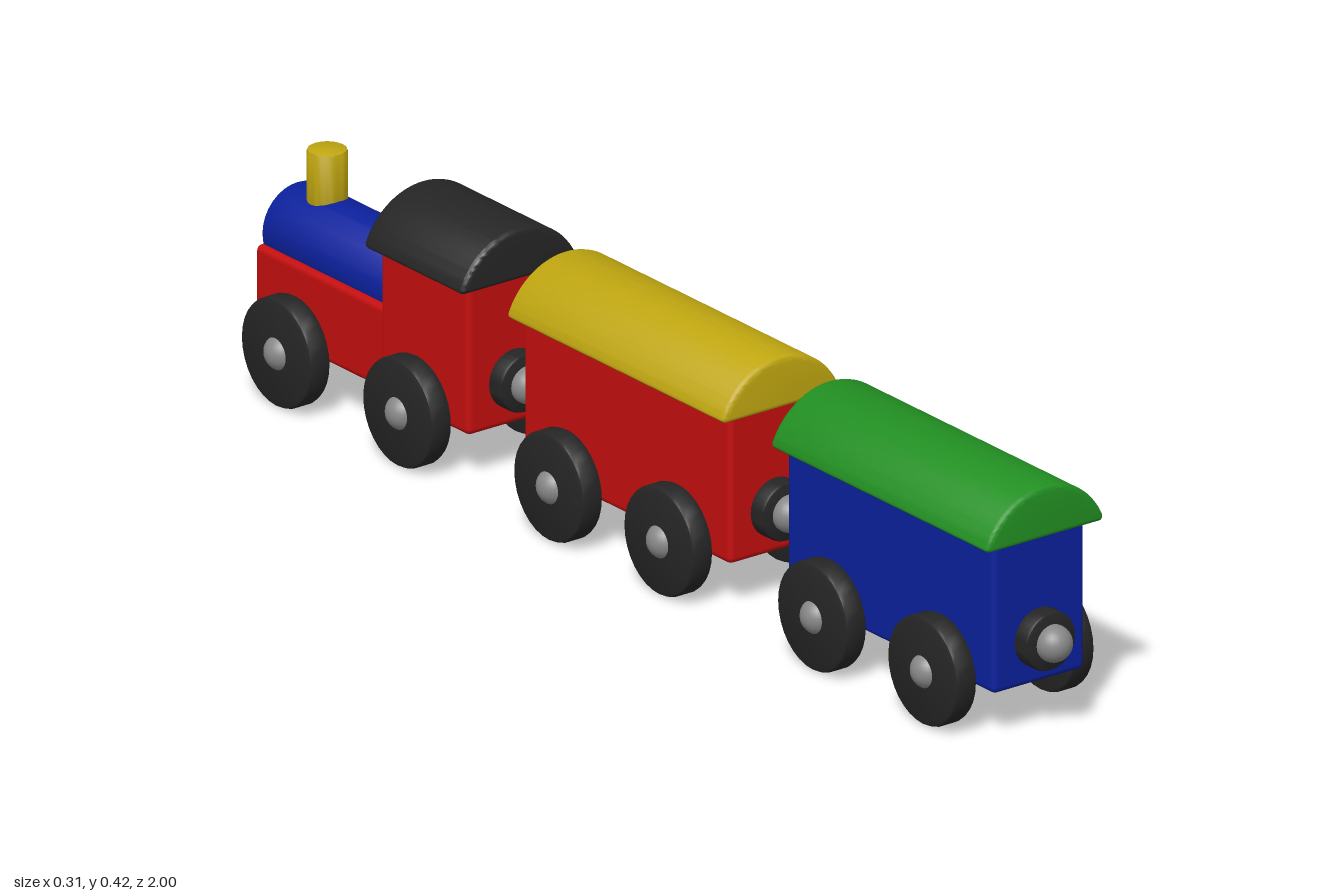
import * as THREE from 'three';
import { toCreasedNormals } from 'three/addons/utils/BufferGeometryUtils.js';
import { RoundedBoxGeometry } from 'three/addons/geometries/RoundedBoxGeometry.js';

function paint(name, color) {
  const m = new THREE.MeshStandardMaterial({ color });
  m.name = name;
  return m;
}

export function createModel() {
  const red = paint('red', 0xc40e0e);
  const blue = paint('blue', 0x0c219e);
  const green = paint('green', 0x229022);
  const yellow = paint('yellow', 0xbfa610);
  const black = paint('black', 0x252525);
  const steel = paint('steel', 0x888888);

  const train = new THREE.Group();
  train.name = 'toyTrain';

  function add(parent, name, geometry, material, x = 0, y = 0, z = 0) {
    const mesh = new THREE.Mesh(geometry, material);
    mesh.name = name;
    mesh.position.set(x, y, z);
    parent.add(mesh);
    return mesh;
  }

  // Solid disc or rod along y with softened rims
  function softCylinder(radius, height, bevel) {
    const h = height / 2, b = bevel, k = bevel * 0.3;
    const profile = [
      [0, -h], [radius - b, -h], [radius - k, -h + k], [radius, -h + b],
      [radius, h - b], [radius - k, h - k], [radius - b, h], [0, h],
    ].map(([x, y]) => new THREE.Vector2(x, y));
    return toCreasedNormals(new THREE.LatheGeometry(profile, 32), 0.75);
  }

  // Arched roof, flat underneath, running along z and centred on z = 0
  function roofGeometry(length) {
    const w = 0.116, base = 0.333, eave = 0.343, cy = 0.294, r = 0.126;
    const a = Math.atan2(eave - cy, w);
    const shape = new THREE.Shape();
    shape.moveTo(-w, base + 0.004);
    shape.lineTo(-w + 0.004, base);
    shape.lineTo(w - 0.004, base);
    shape.lineTo(w, base + 0.004);
    shape.absarc(0, cy, r, a, Math.PI - a, false);
    const bevel = 0.008;
    const geometry = new THREE.ExtrudeGeometry(shape, {
      depth: length - bevel * 2, curveSegments: 24,
      bevelSize: bevel, bevelThickness: bevel, bevelOffset: -bevel, bevelSegments: 3,
    });
    geometry.translate(0, 0, -length / 2 + bevel);
    return toCreasedNormals(geometry, 0.7);
  }

  const wheelGeometry = softCylinder(0.092, 0.042, 0.008).rotateZ(Math.PI / 2);
  const axleGeometry = new THREE.CylinderGeometry(0.012, 0.012, 0.22, 12).rotateZ(Math.PI / 2);
  const ballGeometry = new THREE.SphereGeometry(0.031, 24, 16);
  const bufferGeometry = softCylinder(0.05, 0.044, 0.006).rotateX(Math.PI / 2);

  // Pair of wheels with round hubs on one axle
  function wheelPair(parent, z) {
    const pair = new THREE.Group();
    pair.name = 'wheelPair';
    pair.position.set(0, 0.093, z);
    add(pair, 'axle', axleGeometry, steel);
    for (const side of [-1, 1]) {
      add(pair, 'wheel', wheelGeometry, black, side * 0.118);
      add(pair, 'hub', ballGeometry, steel, side * 0.124);
    }
    parent.add(pair);
  }

  // Round buffer with its magnet ball; dir is the way it faces along z
  function coupler(parent, z, dir) {
    add(parent, 'buffer', bufferGeometry, black, 0, 0.16, z + dir * 0.01);
    add(parent, 'couplerBall', ballGeometry, steel, 0, 0.16, z + dir * 0.037);
  }

  // Cabin box under an arched roof
  function cabin(parent, length, z, bodyMaterial, roofMaterial) {
    add(parent, 'body', new RoundedBoxGeometry(0.184, 0.264, length, 3, 0.011), bodyMaterial, 0, 0.213, z);
    add(parent, 'roof', roofGeometry(length + 0.028), roofMaterial, 0.003, 0, z);
  }

  // Two carriages
  for (const [name, z, bodyMaterial, roofMaterial] of [
    ['rearCarriage', 0.663, blue, green],
    ['middleCarriage', -0.022, red, yellow],
  ]) {
    const car = new THREE.Group();
    car.name = name;
    car.position.z = z;
    cabin(car, 0.538, 0, bodyMaterial, roofMaterial);
    for (const dir of [-1, 1]) {
      wheelPair(car, dir * 0.143);
      coupler(car, dir * 0.269, dir);
    }
    train.add(car);
  }

  // Locomotive, heading towards -z
  const engine = new THREE.Group();
  engine.name = 'locomotive';
  cabin(engine, 0.23, -0.547, red, black);
  add(engine, 'chassis', new RoundedBoxGeometry(0.164, 0.144, 0.36, 3, 0.011), red, 0, 0.154, -0.82);
  add(engine, 'boiler', softCylinder(0.073, 0.34, 0.008).rotateX(Math.PI / 2), blue, 0, 0.243, -0.826);
  add(engine, 'chimney', softCylinder(0.033, 0.12, 0.005), yellow, 0, 0.337, -0.917);
  wheelPair(engine, -0.557);
  wheelPair(engine, -0.872);
  coupler(engine, -0.432, 1);
  train.add(engine);

  return train;
}
